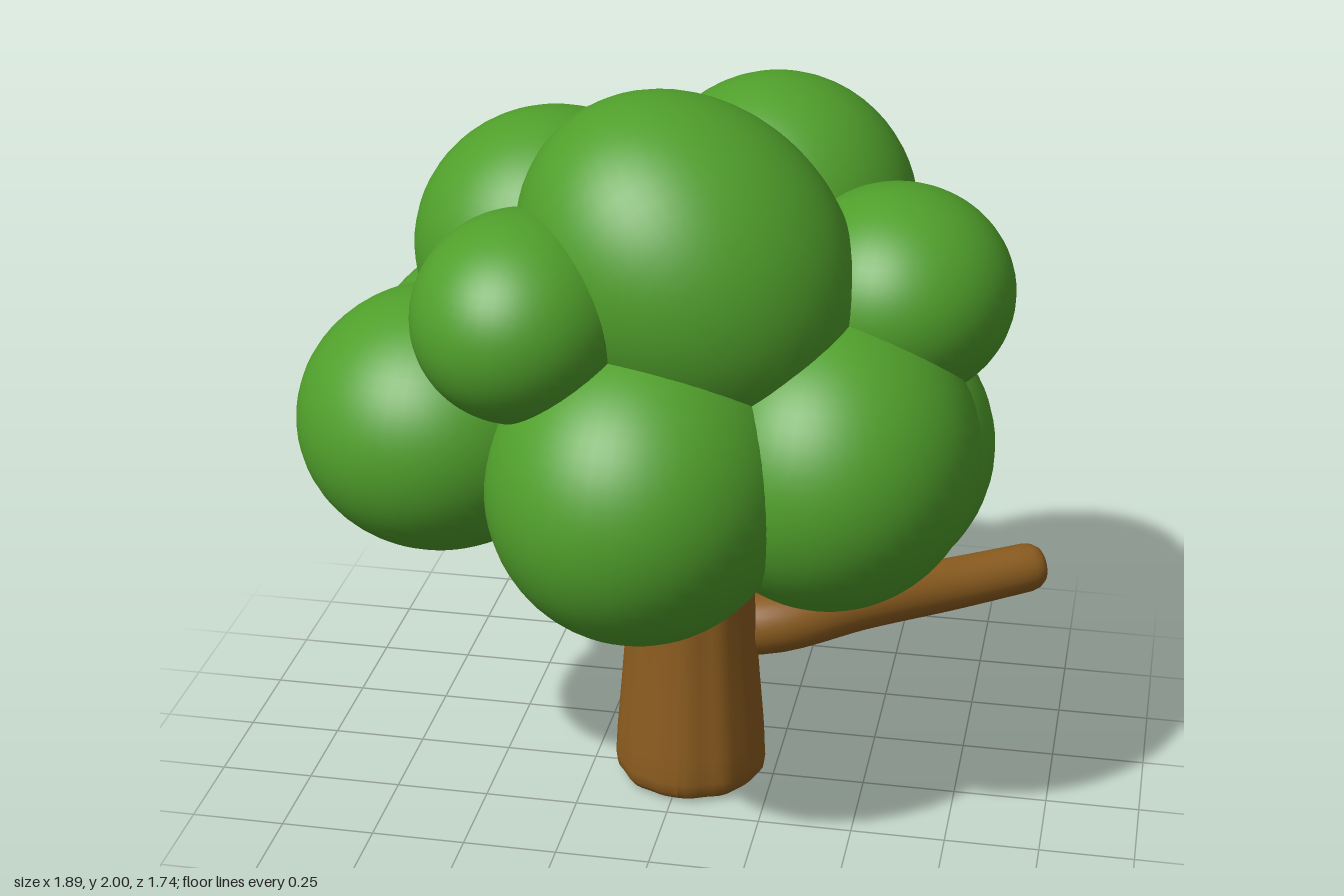
import * as THREE from 'three';

export function createModel() {
  const tree = new THREE.Group();
  tree.name = 'tree';

  const leaf = new THREE.MeshStandardMaterial({ color: 0x509f2b });
  leaf.name = 'leaf green';
  const bark = new THREE.MeshStandardMaterial({ color: 0x8b5c1f });
  bark.name = 'bark brown';

  const add = (parent, name, geometry, material) => {
    const mesh = new THREE.Mesh(geometry, material);
    mesh.name = name;
    parent.add(mesh);
    return mesh;
  };
  const points = (list) => list.map(([r, y]) => new THREE.Vector2(r, y));

  // Trunk: flared foot with rounded edge and faint bark ridges
  const trunkGeo = new THREE.LatheGeometry(points([
    [0, 0], [0.17, 0.002], [0.188, 0.01], [0.202, 0.03], [0.206, 0.06], [0.202, 0.13],
    [0.19, 0.27], [0.178, 0.42], [0.17, 0.6], [0.165, 0.8], [0.16, 1.1], [0, 1.1],
  ]), 64);
  const p = trunkGeo.attributes.position;
  for (let i = 0; i < p.count; i++) {
    const a = Math.atan2(p.getZ(i), p.getX(i));
    const k = 1 + 0.012 * Math.sin(a * 9) + 0.008 * Math.sin(a * 14 + 1);
    p.setX(i, p.getX(i) * k);
    p.setZ(i, p.getZ(i) * k);
  }
  trunkGeo.computeVertexNormals();
  add(tree, 'trunk', trunkGeo, bark).position.x = 0.02;

  // Branch: a tapered, round-ended rod bent along a curve
  const path = new THREE.CatmullRomCurve3([
    [0.06, 0.425, -0.05], [0.24, 0.433, -0.075], [0.45, 0.447, -0.21],
    [0.69, 0.435, -0.39], [0.925, 0.438, -0.55],
  ].map((v) => new THREE.Vector3(...v)));
  const profile = [];
  for (let i = 0; i <= 20; i++) profile.push([0.087 - 0.018 * (i / 20), 0.95 * i / 20]);
  profile.push([0.064, 0.972], [0.053, 0.988], [0.034, 0.997], [0, 1]);
  const branchGeo = new THREE.LatheGeometry(points(profile), 28);
  const b = branchGeo.attributes.position;
  const up = new THREE.Vector3(0, 1, 0);
  for (let i = 0; i < b.count; i++) {
    const t = b.getY(i);
    const tangent = path.getTangentAt(t);
    const side = new THREE.Vector3().crossVectors(up, tangent).normalize();
    const top = new THREE.Vector3().crossVectors(tangent, side);
    const q = path.getPointAt(t).addScaledVector(top, b.getX(i)).addScaledVector(side, b.getZ(i));
    b.setXYZ(i, q.x, q.y, q.z);
  }
  branchGeo.computeVertexNormals();
  add(tree, 'branch', branchGeo, bark);

  // Crown: overlapping puffs, [name, centre, radii, tilt about z]
  const crown = new THREE.Group();
  crown.name = 'crown';
  tree.add(crown);
  const puffs = [
    ['topPuff', [0.05, 1.57, 0.21], [0.465, 0.39, 0.415], -Math.PI / 4],
    ['frontPuff', [-0.025, 1.07, 0.44], [0.39, 0.4, 0.43]],
    ['frontRightPuff', [-0.58, 1.135, 0.27], [0.37, 0.34, 0.38]],
    ['backRightPuff', [-0.47, 1.07, -0.15], [0.43, 0.39, 0.42]],
    ['backPuff', [-0.06, 1.09, -0.47], [0.395, 0.4, 0.4]],
    ['frontLeftPuff', [0.42, 1.09, 0.23], [0.38, 0.39, 0.42]],
    ['backLeftPuff', [0.4, 0.95, -0.145], [0.405, 0.39, 0.42]],
    ['upperLeftPuff', [0.55, 1.452, 0], [0.3, 0.275, 0.315]],
    ['upperBackPuff', [0.19, 1.51, -0.32], [0.375, 0.39, 0.385]],
    ['upperRightPuff', [-0.36, 1.48, -0.11], [0.372, 0.36, 0.37]],
    ['upperFrontPuff', [-0.317, 1.5, 0.45], [0.273, 0.26, 0.307]],
  ];
  const ball = new THREE.SphereGeometry(1, 48, 32);
  for (const [name, centre, radii, tilt = 0] of puffs) {
    const puff = add(crown, name, ball, leaf);
    puff.position.set(...centre);
    puff.scale.set(...radii);
    puff.rotation.z = tilt;
  }
  return tree;
}
